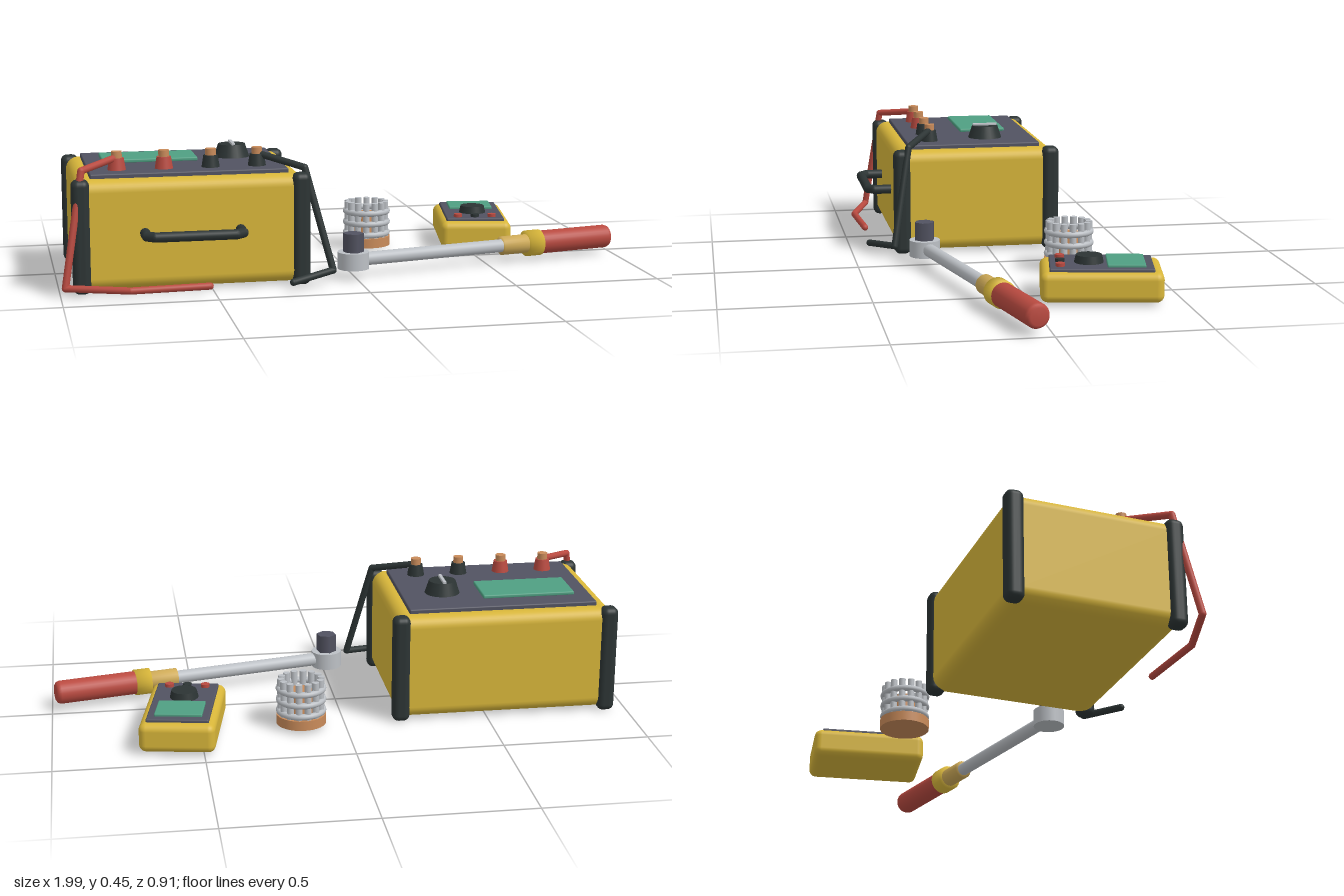
import * as THREE from 'three';
import { RoundedBoxGeometry } from 'three/addons/geometries/RoundedBoxGeometry.js';

const paint = (name, color) => {
  const m = new THREE.MeshStandardMaterial({ color });
  m.name = name;
  return m;
};

export function createModel() {
  const yellow = paint('yellow casing', 0xd8b63a);
  const dark = paint('black rubber', 0x2c3434);
  const slate = paint('slate panel', 0x525361);
  const green = paint('green screen', 0x4f9f82);
  const red = paint('red plastic', 0xb94a40);
  const copper = paint('copper', 0xc98b5a);
  const steel = paint('steel', 0xbcc0c5);
  const brass = paint('pale brass', 0xcfab58);

  const model = new THREE.Group();
  model.name = 'workshopTools';
  const group = (name, x = 0, y = 0, z = 0, turn = 0) => {
    const g = new THREE.Group();
    g.name = name;
    g.position.set(x, y, z);
    g.rotation.y = turn;
    model.add(g);
    return g;
  };
  const add = (parent, name, geometry, material, x = 0, y = 0, z = 0) => {
    const m = new THREE.Mesh(geometry, material);
    m.name = name;
    m.position.set(x, y, z);
    parent.add(m);
    return m;
  };
  // Boxes and cylinders are placed by their bottom height
  const box = (p, name, mat, w, h, d, x, y, z, r = 0.005) =>
    add(p, name, new RoundedBoxGeometry(w, h, d, 4, r), mat, x, y + h / 2, z);
  const cyl = (p, name, mat, rTop, rBottom, h, x, y, z, sides = 28) =>
    add(p, name, new THREE.CylinderGeometry(rTop, rBottom, h, sides), mat, x, y + h / 2, z);
  // Cable or bar made of straight runs with round joints
  const cable = (parent, name, mat, r, coords) => {
    const g = new THREE.Group();
    g.name = name;
    parent.add(g);
    const pts = coords.map((c) => new THREE.Vector3(...c));
    pts.forEach((p, i) => {
      add(g, 'joint', new THREE.SphereGeometry(r, 12, 8), mat, p.x, p.y, p.z);
      if (i) add(g, 'run', new THREE.TubeGeometry(new THREE.LineCurve3(pts[i - 1], p), 1, r, 12), mat);
    });
  };

  // Tester case with corner bumpers
  const tester = group('tester', -0.562, 0, 0.048);
  box(tester, 'case', yellow, 0.76, 0.365, 0.58, 0, 0.011, 0, 0.04);
  for (const x of [-0.365, 0.365]) for (const z of [-0.272, 0.272]) {
    box(tester, 'cornerBumper', dark, 0.06, 0.379, 0.06, x, 0.002, z, 0.022);
  }
  box(tester, 'controlPanel', slate, 0.66, 0.03, 0.48, 0, 0.361, 0);
  box(tester, 'screen', green, 0.326, 0.014, 0.17, -0.109, 0.389, -0.072);
  cyl(tester, 'dial', dark, 0.047, 0.062, 0.045, 0.182, 0.39, -0.061);
  box(tester, 'dialPointer', steel, 0.012, 0.01, 0.09, 0.182, 0.433, -0.061, 0.002);

  // Terminals: red pair and black pair
  [red, red, dark, dark].forEach((mat, i) => {
    const x = -0.235 + i * 0.157;
    cyl(tester, 'terminal', mat, 0.024, 0.031, 0.042, x, 0.389, 0.154);
    cyl(tester, 'terminalCap', copper, 0.018, 0.018, 0.023, x, 0.43, 0.154);
  });

  // Front handle
  cable(tester, 'handle', dark, 0.017, [
    [-0.158, 0.2, 0.28], [-0.158, 0.2, 0.35], [-0.132, 0.2, 0.373],
    [0.132, 0.2, 0.373], [0.158, 0.2, 0.35], [0.158, 0.2, 0.28],
  ]);

  // Test leads
  cable(model, 'redLead', red, 0.012, [
    [-0.797, 0.432, 0.2], [-0.922, 0.41, 0.322], [-0.985, 0.035, 0.378],
    [-0.78, 0.032, 0.442], [-0.52, 0.032, 0.425],
  ]);
  cable(model, 'blackLead', dark, 0.012, [
    [-0.326, 0.432, 0.2], [-0.18, 0.393, 0.297], [-0.096, 0.052, 0.36], [-0.245, 0.034, 0.435],
  ]);

  // Roller cage on a copper base
  const cage = group('rollerCage', 0.15, 0, -0.222);
  cyl(cage, 'base', copper, 0.086, 0.086, 0.034, 0, 0.014, 0, 32);
  cyl(cage, 'core', copper, 0.038, 0.05, 0.09, 0, 0.045, 0);
  for (const y of [0.06, 0.1, 0.14]) {
    const ring = add(cage, 'ring', new THREE.TorusGeometry(0.076, 0.011, 10, 36), steel, 0, y, 0);
    ring.rotation.x = Math.PI / 2;
  }
  for (let i = 0; i < 14; i++) {
    const a = (i / 14) * Math.PI * 2;
    cyl(cage, 'roller', steel, 0.012, 0.012, 0.131, 0.07 * Math.cos(a), 0.045, 0.07 * Math.sin(a), 12);
  }

  // Hand-held meter
  const meter = group('meter', 0.556, 0, -0.243, -0.18);
  box(meter, 'meterCase', yellow, 0.255, 0.1, 0.4, 0, 0.012, 0, 0.025);
  box(meter, 'meterPanel', slate, 0.21, 0.016, 0.34, 0, 0.106, 0);
  box(meter, 'meterScreen', green, 0.16, 0.012, 0.125, 0, 0.119, -0.08, 0.004);
  cyl(meter, 'meterDial', dark, 0.043, 0.049, 0.026, 0, 0.121, 0.04);
  [red, dark, red].forEach((mat, i) =>
    cyl(meter, 'meterSocket', mat, 0.015, 0.015, 0.013, (i - 1) * 0.062, 0.12, 0.135, 20));

  // Torque wrench lying along its own x axis
  const wrench = group('torqueWrench', -0.006, 0.063, 0.264, 0.215);
  cyl(wrench, 'head', steel, 0.054, 0.054, 0.058, 0, -0.029, 0, 32);
  cyl(wrench, 'hexDrive', slate, 0.036, 0.036, 0.066, 0, 0.027, 0, 6);
  const sleeve = (name, mat, profile) => {
    const geometry = new THREE.LatheGeometry(profile.map(([r, x]) => new THREE.Vector2(r, x)), 28);
    add(wrench, name, geometry, mat).rotation.z = -Math.PI / 2;
  };
  sleeve('shaft', steel, [[0, 0.02], [0.023, 0.02], [0.023, 0.6], [0, 0.6]]);
  sleeve('scaleCollar', brass, [[0, 0.575], [0.033, 0.575], [0.033, 0.69], [0, 0.69]]);
  sleeve('lockRing', yellow, [[0, 0.675], [0.046, 0.675], [0.046, 0.73], [0, 0.73]]);
  sleeve('grip', red, [[0, 0.72], [0.041, 0.72], [0.041, 1.0], [0.037, 1.01], [0.028, 1.016], [0, 1.016]]);
  return model;
}
